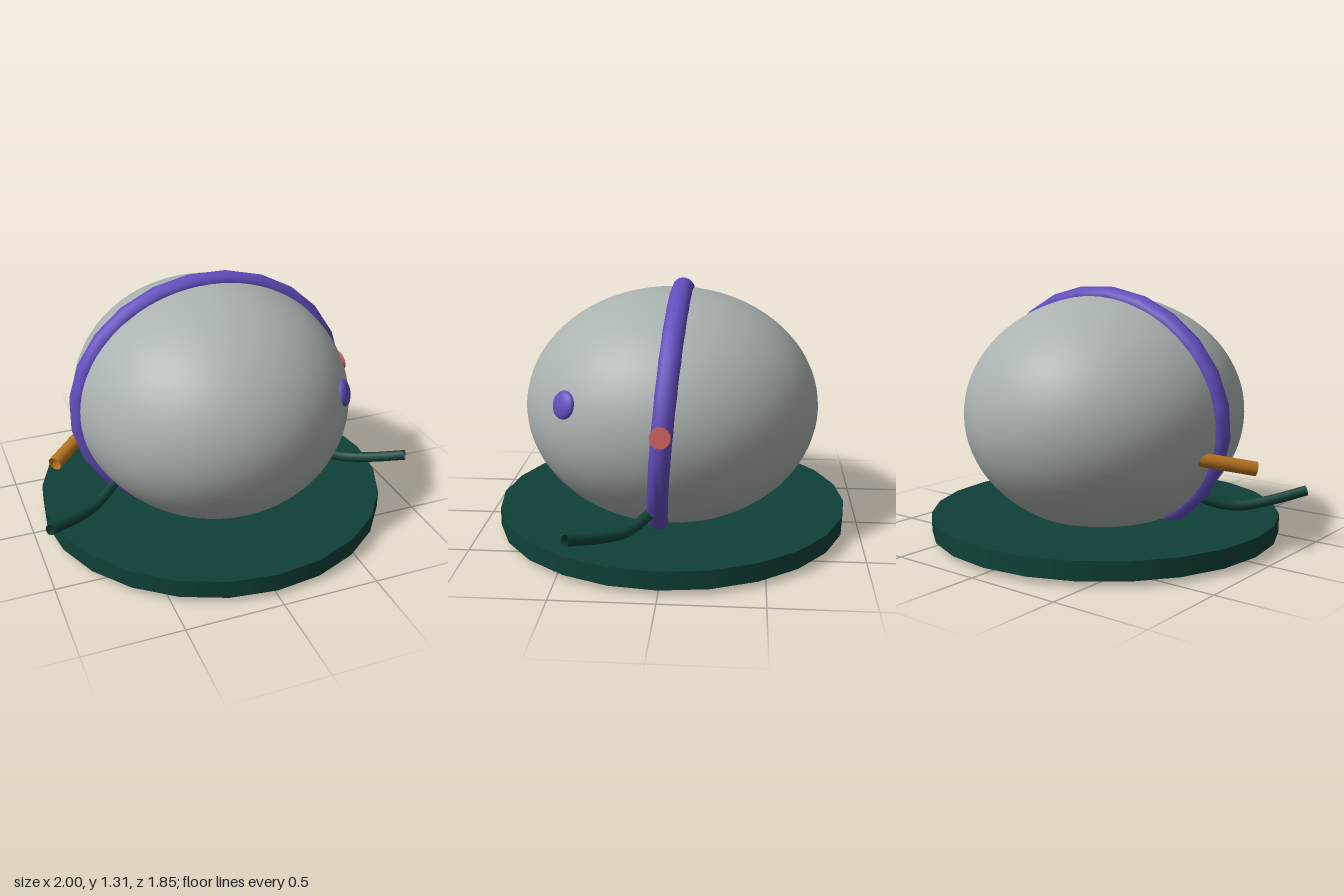
import * as THREE from 'three';

const paint = (name, color, side = THREE.FrontSide) => {
  const m = new THREE.MeshStandardMaterial({ color, side });
  m.name = name;
  return m;
};

export function createModel() {
  const model = new THREE.Group();
  model.name = 'roundPot';

  const grey = paint('stone grey', 0xaab2b0);
  const green = paint('dark green', 0x0f4138, THREE.DoubleSide);
  const purple = paint('violet', 0x624dbe);
  const orange = paint('amber', 0xb5731f, THREE.DoubleSide);
  const red = paint('coral red', 0xd05f60);

  const add = (name, geometry, material, position = [0, 0, 0]) => {
    const mesh = new THREE.Mesh(geometry, material);
    mesh.name = name;
    mesh.position.set(...position);
    model.add(mesh);
    return mesh;
  };
  const vec = (p) => new THREE.Vector3(...p);
  const up = new THREE.Vector3(0, 1, 0);

  // Egg-shaped body resting in a flat plate
  const body = add('body', new THREE.SphereGeometry(1, 64, 40), grey, [0, 0.66, 0]);
  body.scale.set(0.72, 0.615, 0.766);
  add('basePlate', new THREE.CylinderGeometry(0.925, 0.925, 0.095, 24), green, [0, 0.083, 0]);

  // Band around the body, leaning slightly backwards
  const bandShape = new THREE.TorusGeometry(0.708, 0.055, 12, 24);
  bandShape.rotateZ(THREE.MathUtils.degToRad(6.5));
  bandShape.scale(1, 0.868, 1);
  const band = add('band', bandShape, purple, [0, 0.662, 0]);
  band.rotation.x = -0.085;

  // Flattened eye lying on the body surface
  const eye = add('eye', new THREE.SphereGeometry(1, 24, 16), purple, [0.535, 0.797, 0.482]);
  eye.scale.set(0.07, 0.028, 0.07);
  eye.quaternion.setFromUnitVectors(up, vec([1.03, 0.37, 0.82]).normalize());

  // Straight round part running between two points
  const rod = (name, from, to, radius, material, open) => {
    const a = vec(from), b = vec(to);
    const geometry = new THREE.CylinderGeometry(radius, radius, a.distanceTo(b), 16, 1, open);
    const mesh = add(name, geometry, material, a.clone().add(b).multiplyScalar(0.5).toArray());
    mesh.quaternion.setFromUnitVectors(up, b.sub(a).normalize());
  };
  rod('button', [0.7, 0.706, 0], [0.777, 0.72, 0], 0.05, red, false);
  rod('spout', [-0.64, 0.51, -0.13], [-0.872, 0.452, 0.079], 0.036, orange, true);

  // Mirrored curved arms
  for (const side of [-1, 1]) {
    const path = new THREE.CatmullRomCurve3([
      [0.48, 0.32, 0.0], [0.58, 0.255, 0.08], [0.7, 0.219, 0.175],
      [0.83, 0.243, 0.285], [0.98, 0.295, 0.41],
    ].map(([x, y, z]) => new THREE.Vector3(side * x, y, z)));
    add(side > 0 ? 'leftArm' : 'rightArm', new THREE.TubeGeometry(path, 20, 0.027, 10), green);
  }

  return model;
}
